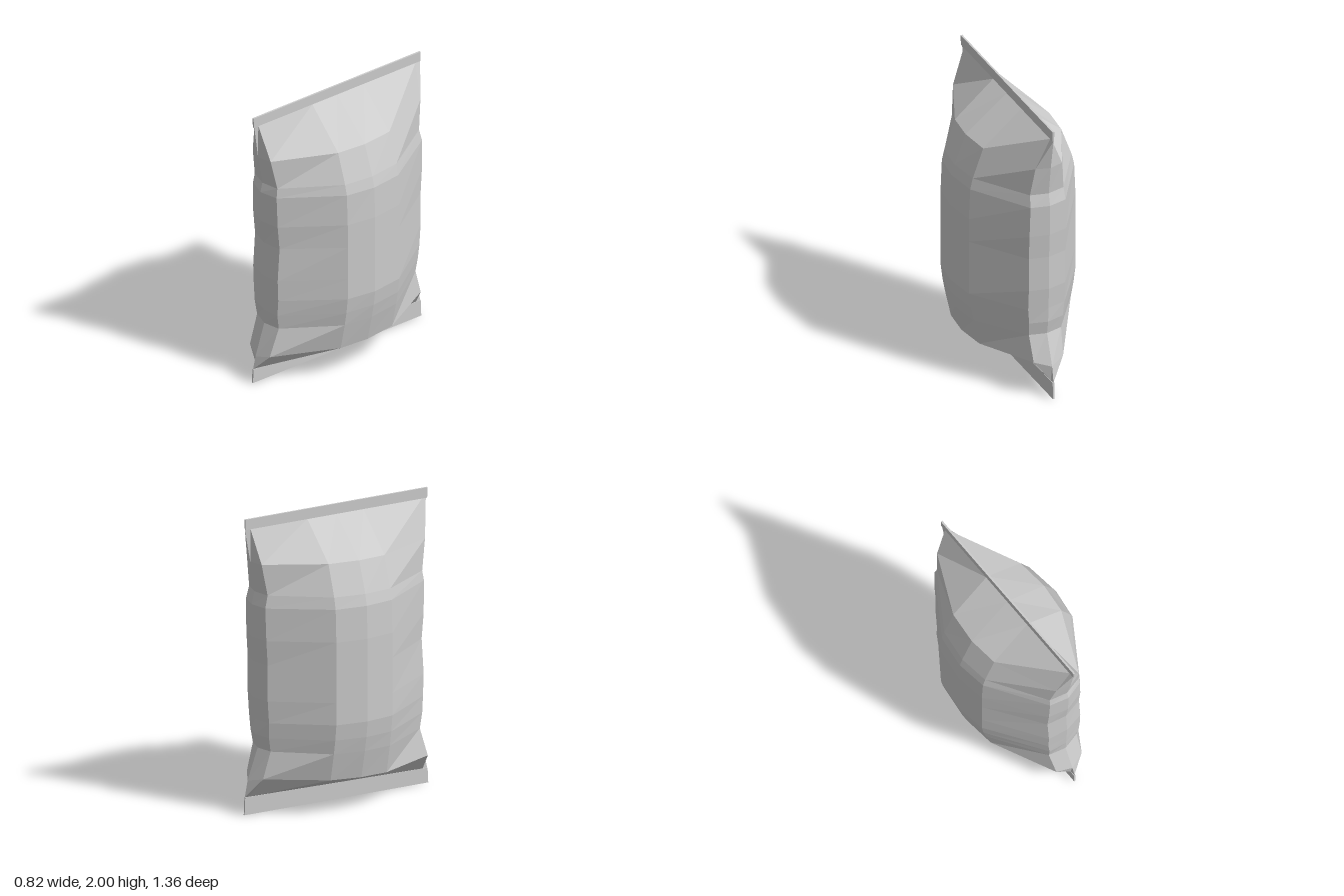
import * as THREE from 'three';

// Pouch levels: [y, half thickness, edge x, edge z front, edge z back, ridge z front, ridge z back, tilt]
const LEVELS = [
  [0.11, 0.005, 0.003, 0.64, 0.64, 0.675, 0.675, 0.015],
  [0.24, 0.33, 0.105, 0.62, 0.60, 0.655, 0.655, 0.03],
  [0.43, 0.375, 0.115, 0.555, 0.55, 0.585, 0.58, 0.02],
  [0.53, 0.395, 0.12, 0.57, 0.565, 0.59, 0.597, 0.01],
  [0.64, 0.41, 0.13, 0.57, 0.57, 0.595, 0.60, 0],
  [0.79, 0.41, 0.13, 0.575, 0.58, 0.60, 0.61, 0],
  [1.03, 0.41, 0.13, 0.56, 0.58, 0.59, 0.61, 0],
  [1.20, 0.41, 0.13, 0.575, 0.59, 0.61, 0.62, 0],
  [1.42, 0.40, 0.125, 0.58, 0.595, 0.615, 0.625, 0],
  [1.495, 0.38, 0.12, 0.57, 0.575, 0.60, 0.605, 0.015],
  [1.70, 0.30, 0.095, 0.605, 0.605, 0.635, 0.635, 0.015],
  [1.93, 0.005, 0.003, 0.635, 0.635, 0.665, 0.675, 0],
];

// Twelve-sided cross-section running from the front ridge round the left side
function ring([y, w, ex, ezF, ezB, rzF, rzB, tilt], level) {
  const half = [[ex, ezF], [w * 0.93, 0.2], [w, 0], [w * 0.93, -0.215], [ex, -ezB]];
  const outline = [
    [0, rzF], ...half, [0, -rzB],
    ...half.map(([x, z]) => [-x, z]).reverse(),
  ];
  return outline.map(([x, z], i) => {
    // The gusset fold dips a little at the lower corners
    const dip = level === 1 && i % 6 === 0 ? 0.03 : 0;
    return [x, y - z * tilt - dip, z];
  });
}

function pouchGeometry() {
  const rings = LEVELS.map(ring);
  const n = rings[0].length;
  const index = [];
  for (let r = 0; r < rings.length - 1; r++) {
    for (let i = 0; i < n; i++) {
      const j = (i + 1) % n;
      const a = r * n + i, b = r * n + j;
      index.push(a, b, b + n, a, b + n, a + n);
    }
  }
  const geometry = new THREE.BufferGeometry();
  geometry.setAttribute('position', new THREE.Float32BufferAttribute(rings.flat(2), 3));
  geometry.setIndex(index);
  geometry.computeVertexNormals();
  return geometry;
}

// Flat crimped strip; the inner edge of the bottom one is slightly skewed
function sealGeometry(y0, y1, z0, z1, skew) {
  const geometry = new THREE.BoxGeometry(0.012, 1, 2);
  const p = geometry.attributes.position;
  for (let i = 0; i < p.count; i++) {
    const top = p.getY(i) > 0, side = Math.sign(p.getZ(i));
    p.setZ(i, side * (top ? z1 : z0));
    p.setY(i, top ? y1 - side * skew : y0);
  }
  geometry.computeVertexNormals();
  return geometry;
}

export function createModel() {
  const model = new THREE.Group();
  model.name = 'snackBag';
  const foil = new THREE.MeshStandardMaterial({ color: 0xcccccc, flatShading: true });
  foil.name = 'plainGrey';

  const add = (name, geometry) => {
    const mesh = new THREE.Mesh(geometry, foil);
    mesh.name = name;
    model.add(mesh);
  };
  add('pouch', pouchGeometry());
  add('bottomSeal', sealGeometry(0, 0.11, 0.68, 0.675, 0.01));
  add('topSeal', sealGeometry(1.93, 2, 0.672, 0.675, 0));
  return model;
}
